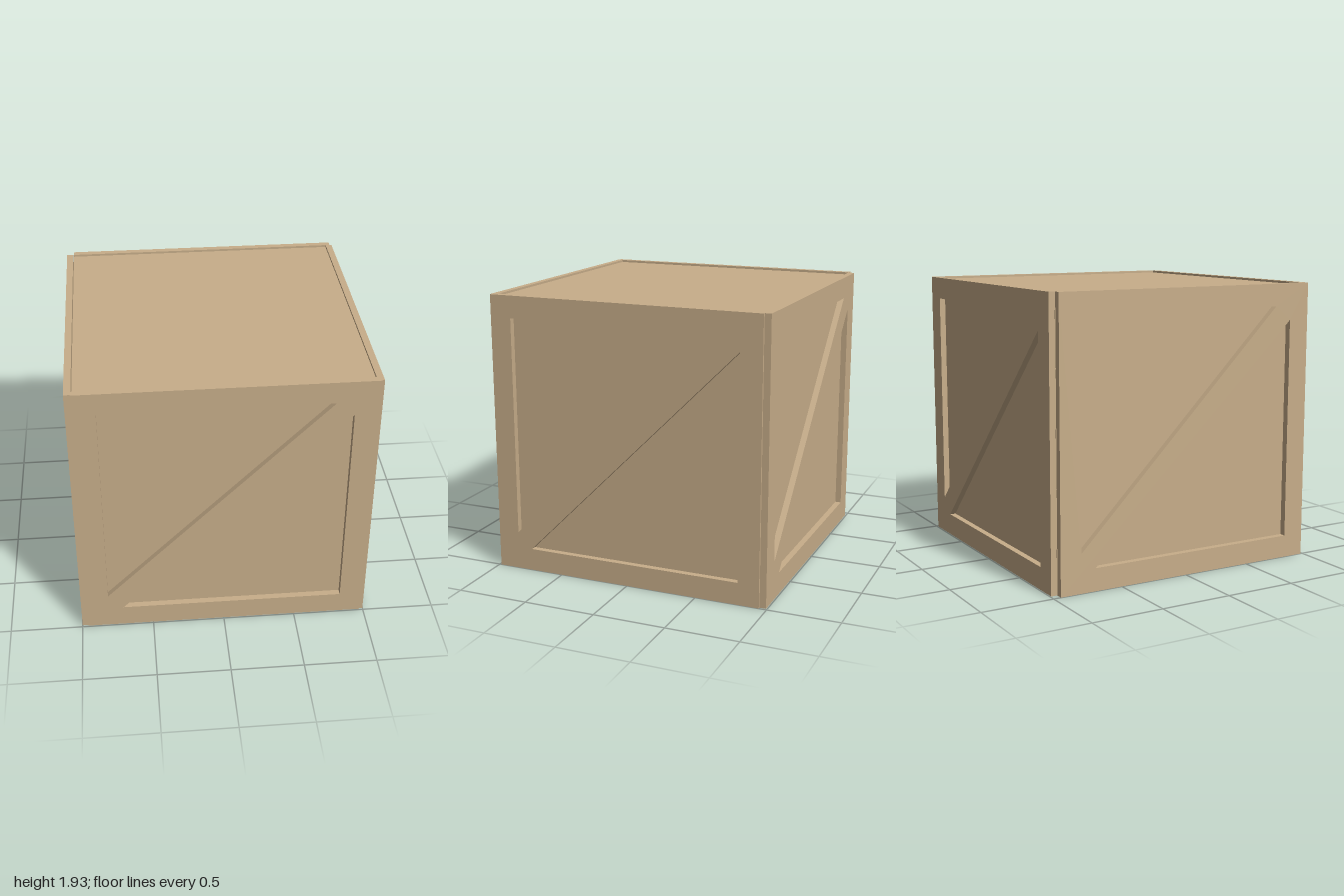
import * as THREE from 'three';

const HEIGHT = 1.935, HALF = 0.967, THICK = 0.045;

// Square frame with a diagonal brace, cut out by two triangles; outer face at z = THICK
function frameGeometry() {
  const shape = new THREE.Shape([
    [-HALF, 0], [HALF, 0], [HALF, HEIGHT], [-HALF, HEIGHT],
  ].map(([x, y]) => new THREE.Vector2(x, y)));
  const triangles = [
    [[-0.817, 0.265], [-0.817, 1.782], [0.697, 1.782]],
    [[0.817, 1.685], [0.817, 0.155], [-0.713, 0.155]],
  ];
  for (const t of triangles) {
    shape.holes.push(new THREE.Path(t.map(([x, y]) => new THREE.Vector2(x, y))));
  }
  return new THREE.ExtrudeGeometry(shape, { depth: THICK, bevelEnabled: false });
}

export function createModel() {
  const group = new THREE.Group();
  const wood = new THREE.MeshStandardMaterial({ color: 0xc8ae8a });
  wood.name = 'paleWood';

  // Inner box, a little lower than the frames so they leave a thin lip
  const core = new THREE.Mesh(new THREE.BoxGeometry(1.907, HEIGHT - 0.03, 1.898), wood);
  core.name = 'crateCore';
  core.position.set(0.0035, HEIGHT / 2, -0.001);
  group.add(core);

  // One braced frame on each side: name, x, z of the inner face centre, turn
  const frame = frameGeometry();
  const sides = [
    ['frontFrame', 0.008, 0.992 - THICK, 0],
    ['leftFrame', 1 - THICK, 0.02, Math.PI / 2],
    ['backFrame', 0.018, -0.992 + THICK, Math.PI],
    ['rightFrame', -1 + THICK, 0.018, -Math.PI / 2],
  ];
  for (const [name, x, z, turn] of sides) {
    const mesh = new THREE.Mesh(frame, wood);
    mesh.name = name;
    mesh.position.set(x, 0, z);
    mesh.rotation.y = turn;
    group.add(mesh);
  }
  return group;
}
